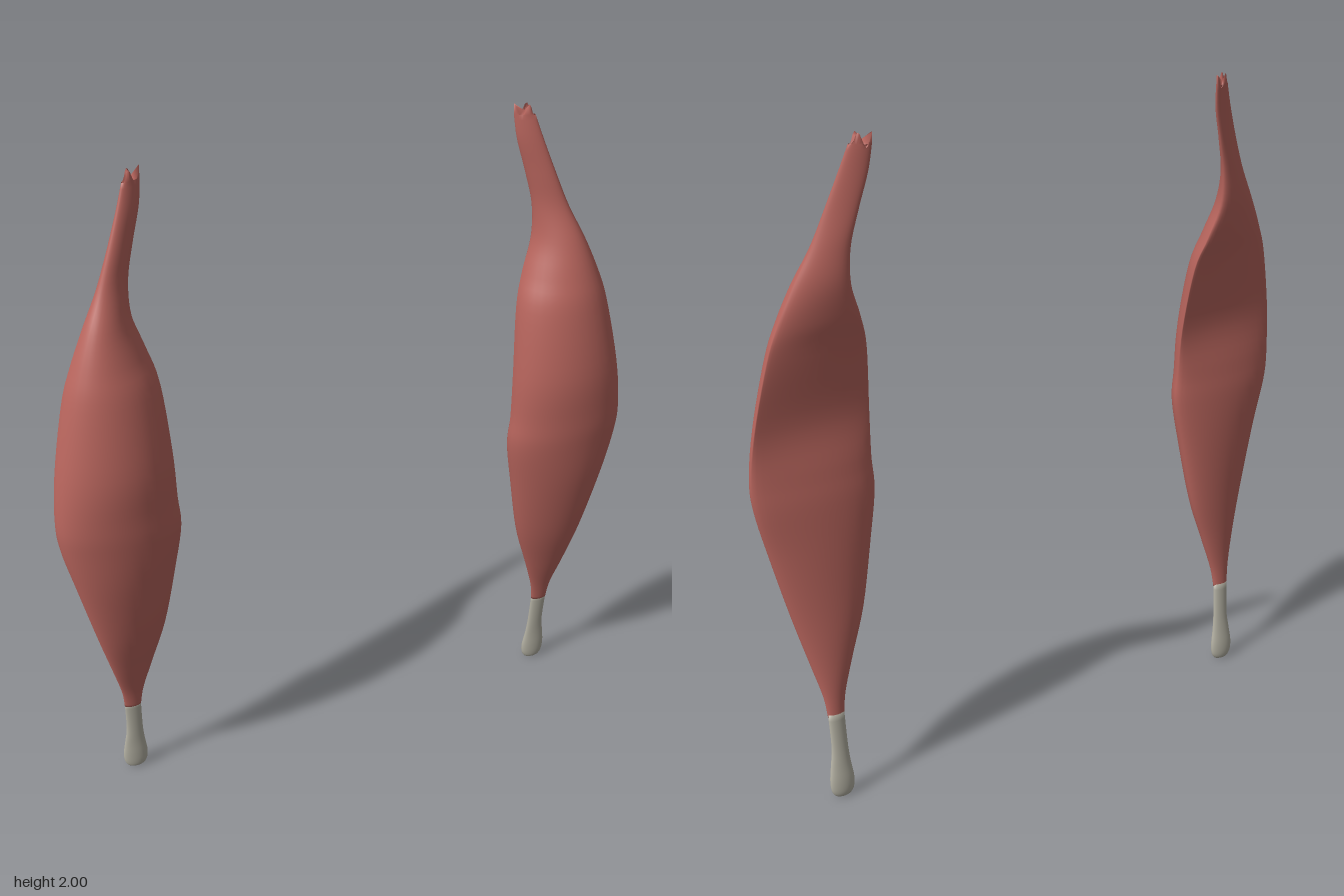
import * as THREE from 'three';

// Cross-sections: [y, inner x, outer x, inner edge z, outer edge z, mid front z, mid back z]
const BELLY = [
  [0.27, 0.673, 0.724, -0.053, -0.053, -0.042, -0.066],
  [0.34, 0.662, 0.731, -0.045, -0.042, -0.030, -0.062],
  [0.45, 0.629, 0.757, -0.035, -0.020, 0.000, -0.059],
  [0.60, 0.583, 0.794, -0.025, 0.000, 0.040, -0.056],
  [0.80, 0.545, 0.840, -0.012, 0.012, 0.078, -0.050],
  [0.95, 0.521, 0.873, -0.005, 0.010, 0.096, -0.041],
  [1.05, 0.526, 0.879, -0.005, 0.008, 0.102, -0.028],
  [1.20, 0.530, 0.862, -0.014, -0.004, 0.102, -0.012],
  [1.40, 0.543, 0.820, -0.045, -0.022, 0.070, -0.042],
  [1.50, 0.568, 0.786, -0.070, -0.030, 0.040, -0.066],
  [1.60, 0.597, 0.742, -0.084, -0.038, 0.003, -0.083],
  [1.70, 0.596, 0.692, -0.090, -0.052, -0.038, -0.090],
  [1.80, 0.573, 0.652, -0.100, -0.066, -0.060, -0.096],
  [1.90, 0.546, 0.615, -0.110, -0.082, -0.080, -0.107],
  [1.98, 0.536, 0.588, -0.120, -0.097, -0.098, -0.117],
];
const TENDON = [
  [0.000, 0.688, 0.712, -0.075, -0.075, -0.070, -0.081],
  [0.006, 0.674, 0.726, -0.075, -0.075, -0.062, -0.088],
  [0.025, 0.664, 0.736, -0.075, -0.075, -0.058, -0.091],
  [0.060, 0.662, 0.738, -0.073, -0.073, -0.056, -0.089],
  [0.110, 0.668, 0.731, -0.068, -0.068, -0.055, -0.082],
  [0.170, 0.672, 0.723, -0.063, -0.063, -0.051, -0.075],
  [0.280, 0.673, 0.724, -0.053, -0.053, -0.042, -0.066],
];
const SEG = 32;

// Catmull-Rom value through every column of the section table
function sampleRow(rows, t) {
  const i = Math.min(Math.floor(t), rows.length - 2), u = t - i;
  const at = (k) => rows[Math.max(0, Math.min(rows.length - 1, k))];
  return rows[0].map((_, c) => {
    const [a, b, d, e] = [at(i - 1)[c], at(i)[c], at(i + 1)[c], at(i + 2)[c]];
    return b + 0.5 * u * (d - a + u * (2 * a - 5 * b + 4 * d - e + u * (3 * (b - d) + e - a)));
  });
}

// Smooth loft through lens-shaped sections, closed by a fan at both ends
function loft(rows, side, steps, notch) {
  const pos = [], idx = [], count = (rows.length - 1) * steps;
  const tri = (a, b, c) => (side > 0 ? idx.push(a, b, c) : idx.push(a, c, b));
  const shift = side > 0 ? 0 : 0.02;
  for (let r = 0; r <= count; r++) {
    const [y, xi, xo, zi, zo, zf, zb] = sampleRow(rows, r / steps);
    const mid = (zi + zo) / 2;
    for (let s = 0; s < SEG; s++) {
      const a = (s / SEG) * Math.PI * 2, c = Math.cos(a), n = Math.sin(a);
      const z = mid + (c * (zo - zi)) / 2 + n * (n > 0 ? zf - mid : mid - zb);
      // Forked top: two uneven points with a dip between them
      const top = notch && r === count ? 0.02 * Math.cos((c - 0.35) * 4.5) : 0;
      pos.push(side * ((xi + xo) / 2 + (c * (xo - xi)) / 2), y + top, z + shift);
    }
  }
  for (let r = 0; r < count; r++) {
    for (let s = 0; s < SEG; s++) {
      const a = r * SEG + s, b = r * SEG + ((s + 1) % SEG);
      tri(a, a + SEG, b);
      tri(b, a + SEG, b + SEG);
    }
  }
  for (const r of [0, count]) {
    const [y, xi, xo, zi, zo] = sampleRow(rows, r / steps);
    const centre = pos.length / 3;
    pos.push((side * (xi + xo)) / 2, y, (zi + zo) / 2 + shift);
    for (let s = 0; s < SEG; s++) {
      const a = r * SEG + s, b = r * SEG + ((s + 1) % SEG);
      if (r === 0) tri(centre, a, b);
      else tri(centre, b, a);
    }
  }
  const g = new THREE.BufferGeometry();
  g.setAttribute('position', new THREE.Float32BufferAttribute(pos, 3));
  g.setIndex(idx);
  g.computeVertexNormals();
  return g;
}

export function createModel() {
  const model = new THREE.Group();
  model.name = 'musclePair';
  const flesh = new THREE.MeshStandardMaterial({ color: 0xb8655d });
  const sinew = new THREE.MeshStandardMaterial({ color: 0xb5b2a4 });

  for (const side of [1, -1]) {
    const muscle = new THREE.Group();
    muscle.name = side > 0 ? 'leftMuscle' : 'rightMuscle';
    const belly = new THREE.Mesh(loft(BELLY, side, 5, true), flesh);
    belly.name = 'muscleBelly';
    const tendon = new THREE.Mesh(loft(TENDON, side, 4, false), sinew);
    tendon.name = 'tendon';
    muscle.add(belly, tendon);
    model.add(muscle);
  }
  return model;
}
